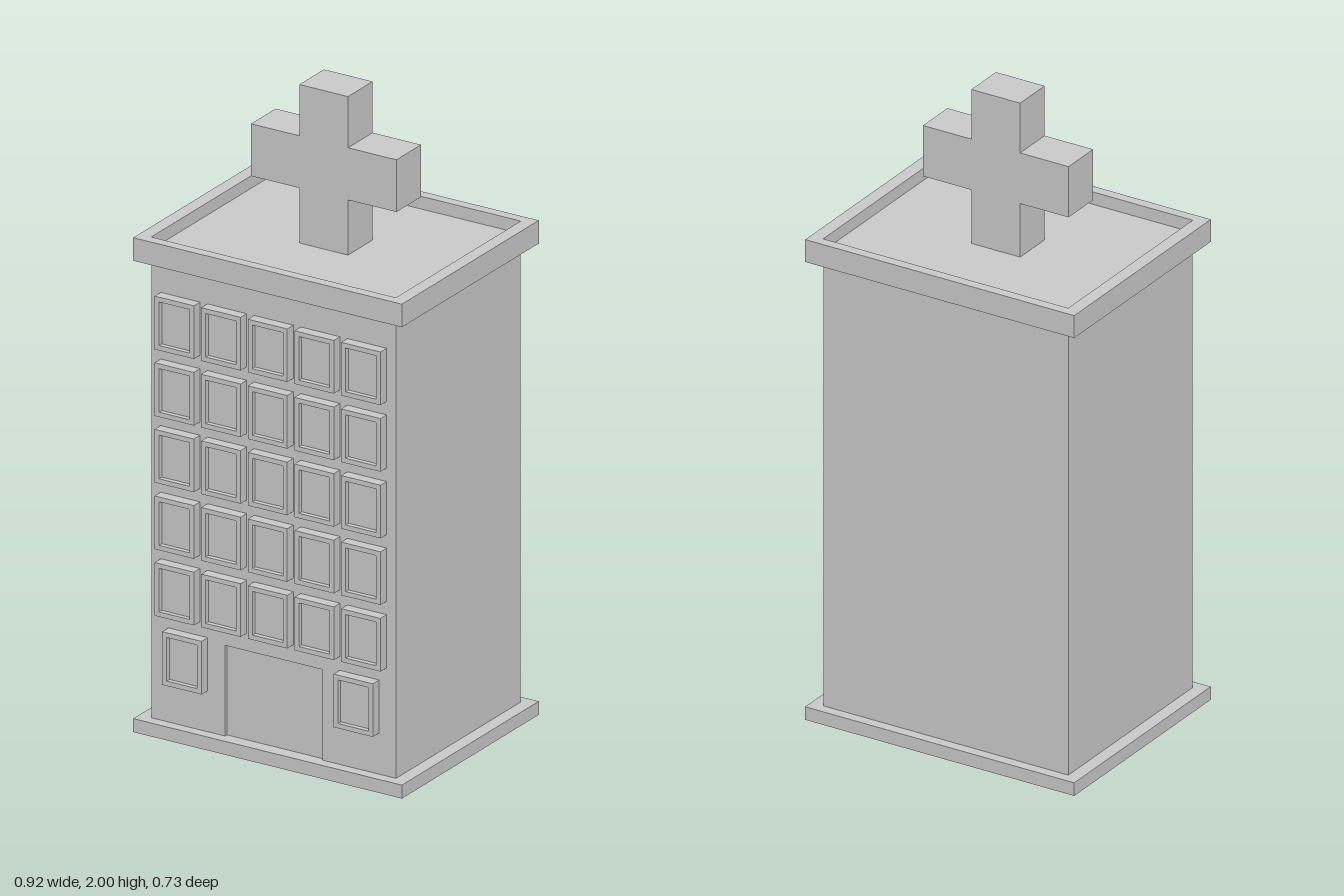
import * as THREE from 'three';

const material = new THREE.MeshStandardMaterial({ color: 0xcccccc, flatShading: true });

function add(parent, name, geometry, x = 0, y = 0, z = 0) {
  const mesh = new THREE.Mesh(geometry, material);
  mesh.name = name;
  mesh.position.set(x, y, z);
  parent.add(mesh);
  return mesh;
}

// Closed outline from corner pairs
const outline = (points) => points.map(([x, y]) => new THREE.Vector2(x, y));
const rect = (w, h) => outline([[-w / 2, -h / 2], [w / 2, -h / 2], [w / 2, h / 2], [-w / 2, h / 2]]);

// Rectangular ring, extruded along z
function ring(w, h, innerW, innerH, depth) {
  const shape = new THREE.Shape(rect(w, h));
  shape.holes.push(new THREE.Path(rect(innerW, innerH)));
  return new THREE.ExtrudeGeometry(shape, { depth, bevelEnabled: false });
}

export function createModel() {
  const model = new THREE.Group();
  model.name = 'building';

  const W = 0.834, D = 0.668;             // tower footprint
  const baseTop = 0.042, roofY = 1.505;   // tower bottom and roof deck
  const wallZ = D / 2, recess = 0.01;

  // Base slab
  add(model, 'base', new THREE.BoxGeometry(0.916, baseTop, 0.734), 0, baseTop / 2, 0);

  // Tower core, its top is the roof deck
  add(model, 'tower', new THREE.BoxGeometry(W, roofY - baseTop, D - recess),
    0, (roofY + baseTop) / 2, -recess / 2);

  // Front wall skin, notched for the shallow doorway
  const wall = new THREE.Shape(outline([
    [-W / 2, baseTop], [-0.166, baseTop], [-0.166, 0.325], [0.166, 0.325],
    [0.166, baseTop], [W / 2, baseTop], [W / 2, roofY], [-W / 2, roofY],
  ]));
  add(model, 'frontWall', new THREE.ExtrudeGeometry(wall, { depth: recess, bevelEnabled: false }),
    0, 0, wallZ - recess);

  // Parapet around the roof deck
  const parapet = add(model, 'parapet', ring(0.916, 0.734, W, 0.67, 0.072), 0, 1.472, 0);
  parapet.rotation.x = -Math.PI / 2;

  // Windows: raised frame with a sunken pane
  const winW = 0.134, winH = 0.166, border = 0.015;
  const frameGeometry = ring(winW, winH, winW - 2 * border, winH - 2 * border, 0.033);
  const paneGeometry = new THREE.BoxGeometry(winW - 2 * border, winH - 2 * border, 0.018);
  function addWindow(x, y) {
    const win = new THREE.Group();
    win.name = 'window';
    win.position.set(x, y, wallZ);
    add(win, 'windowFrame', frameGeometry);
    add(win, 'windowPane', paneGeometry, 0, 0, 0.009);
    model.add(win);
  }
  for (let row = 0; row < 5; row++) {
    for (let col = -2; col <= 2; col++) addWindow(col * 0.159, 0.463 + row * 0.208);
  }
  for (const side of [-1, 1]) addWindow(side * 0.292, 0.253);

  // Roof cross, one solid outline
  const a = 0.083, b = 0.248;
  const cross = new THREE.Shape(outline([
    [-a, roofY], [a, roofY], [a, 1.677], [b, 1.677], [b, 1.84], [a, 1.84],
    [a, 2], [-a, 2], [-a, 1.84], [-b, 1.84], [-b, 1.677], [-a, 1.677],
  ]));
  add(model, 'roofCross', new THREE.ExtrudeGeometry(cross, { depth: 0.132, bevelEnabled: false }),
    0, 0, -0.066);

  return model;
}
